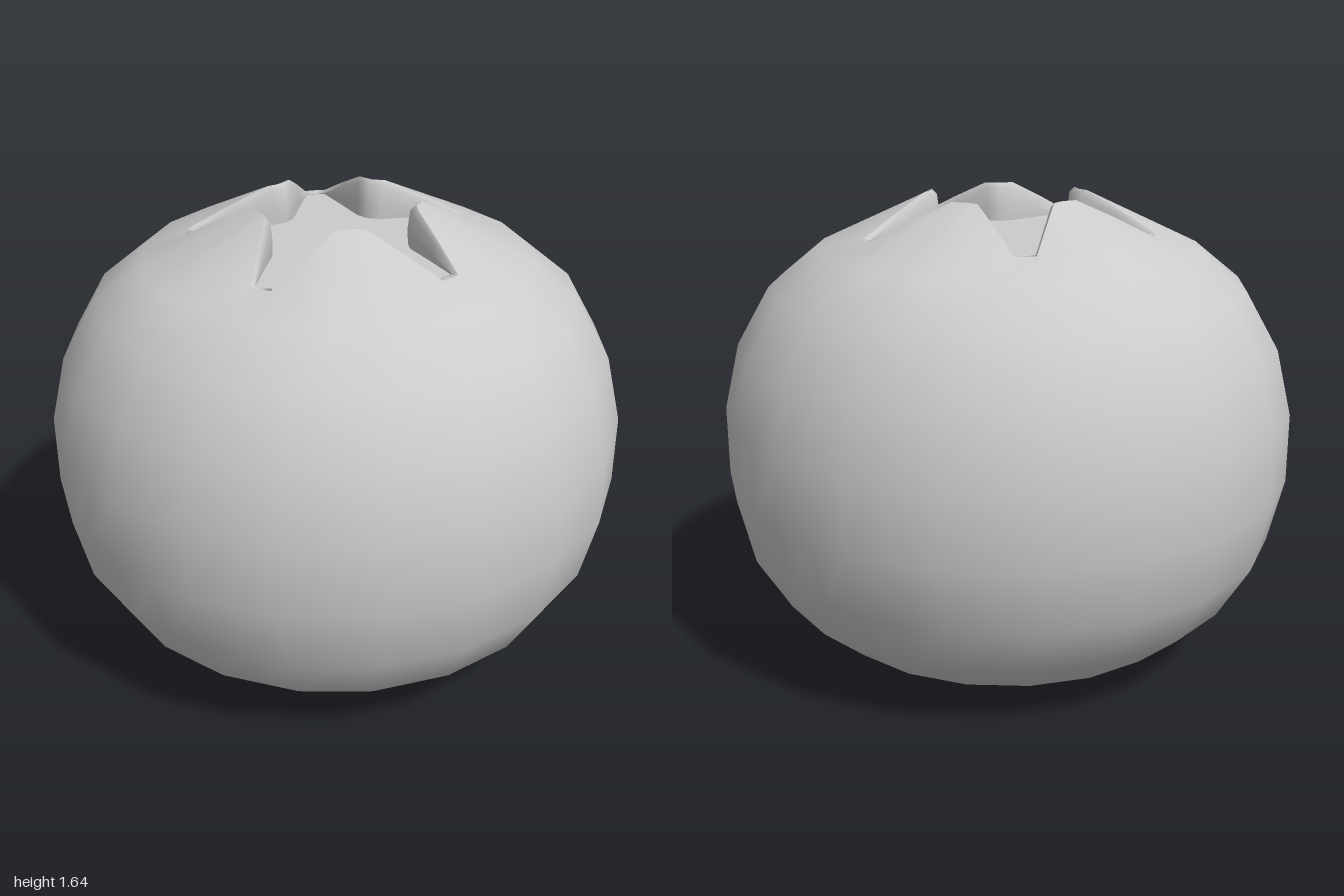
import * as THREE from 'three';

const COLUMNS = 40; // two columns per side of the 20-sided body
const START = THREE.MathUtils.degToRad(-4);
const rad = THREE.MathUtils.degToRad;

// A plain ring; odd columns lie in the middle of the sides
function ring(r, y) {
  return Array.from({ length: COLUMNS }, (_, k) => {
    const a = START + rad(9 * k), q = k % 2 ? r * Math.cos(rad(9)) : r;
    return [q * Math.cos(a), y, q * Math.sin(a)];
  });
}

// Half of one star point, from its tip to the middle of a flap: degrees, radius, height
const STAR = [[0, 0.49, 1.512], [4, 0.487, 1.512], [12, 0.366, 1.58], [26, 0.262, 1.64], [36, 0.245, 1.64]];
const FLOOR = 1.505;

// Star outline, widened by grow, with its height mapped by a rule
function star(grow, height) {
  return Array.from({ length: COLUMNS }, (_, k) => {
    const s = k % 8, mirrored = s > 4;
    const [deg, r, y] = STAR[mirrored ? 8 - s : s];
    const a = START + rad(72 * Math.floor(k / 8) + (mirrored ? 72 - deg : deg));
    return [(r + grow) * Math.cos(a), height(y), (r + grow) * Math.sin(a)];
  });
}

// Joins closed rings into a smooth skin
function skin(name, rings, material) {
  const index = [];
  for (let i = 0; i < rings.length - 1; i++) {
    for (let k = 0; k < COLUMNS; k++) {
      const n = (k + 1) % COLUMNS;
      const a = i * COLUMNS + k, b = i * COLUMNS + n, c = a + COLUMNS, d = b + COLUMNS;
      index.push(a, c, b, b, c, d);
    }
  }
  const geometry = new THREE.BufferGeometry();
  geometry.setAttribute('position', new THREE.Float32BufferAttribute(rings.flat(2), 3));
  geometry.setIndex(index);
  geometry.computeVertexNormals();
  const mesh = new THREE.Mesh(geometry, material);
  mesh.name = name;
  return mesh;
}

export function createModel() {
  const group = new THREE.Group();
  group.name = 'berry';
  const material = new THREE.MeshStandardMaterial({ color: 0xcccccc, side: THREE.DoubleSide });

  // Round body, rising into five flaps around the star opening
  const profile = [[0.26, 0], [0.48, 0.03], [0.67, 0.105], [0.83, 0.24], [0.945, 0.43], [1, 0.66],
    [1, 0.9], [0.945, 1.13], [0.83, 1.33], [0.67, 1.46]];
  group.add(skin('body', [...profile.map(([r, y]) => ring(r, y)), star(0.025, (y) => y)], material));

  // Shallow dimple underneath
  const dimple = [[0.001, 0.09], [0.12, 0.08], [0.21, 0.05], [0.26, 0]];
  group.add(skin('bottomDimple', dimple.map(([r, y]) => ring(r, y)), material));

  // Rounded inner side of the flaps
  group.add(skin('crownWall', [
    star(0.025, (y) => y),
    star(0.005, (y) => y - 0.12 * (y - FLOOR)),
    star(-0.003, (y) => FLOOR + 0.4 * (y - FLOOR)),
    star(0, () => FLOOR),
  ], material));

  // Flat star-shaped floor of the crown
  group.add(skin('crownFloor', [star(0, () => FLOOR), ring(0.001, FLOOR)], material));

  return group;
}
